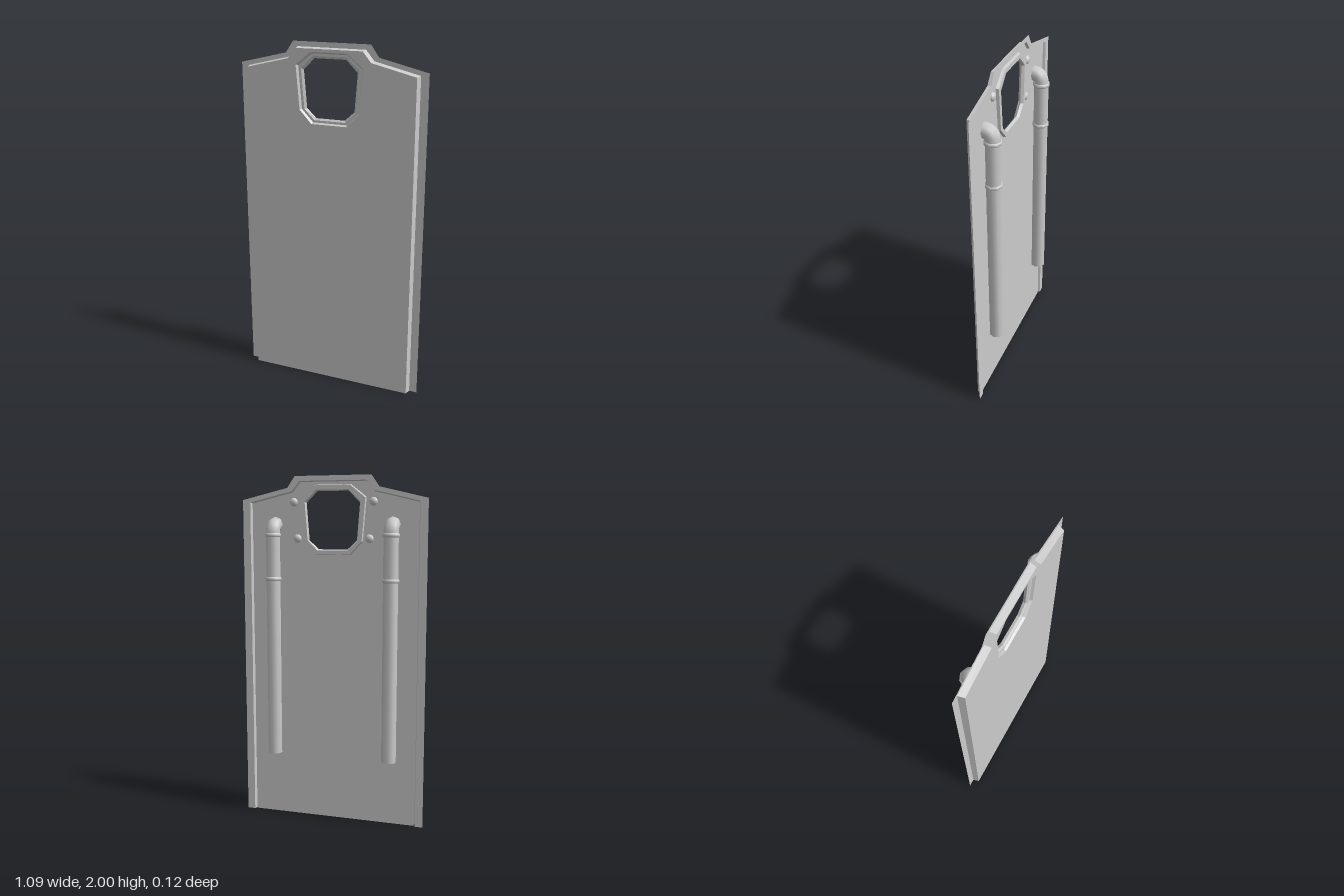
import * as THREE from 'three';

const material = new THREE.MeshStandardMaterial({ color: 0xcccccc, side: THREE.DoubleSide });

// Half outlines on the +x side, listed from bottom to top
const FLANGE = [[0.545, 0], [0.545, 1.87], [0.27, 1.935], [0.225, 2]];
const WALL_BACK = [[0.5, 0], [0.5, 1.855], [0.245, 1.915], [0.197, 1.972]];
const WALL_FRONT = [[0.49, 0], [0.49, 1.85], [0.24, 1.91], [0.192, 1.967]];
const WINDOW = [[0.105, 1.56], [0.175, 1.635], [0.195, 1.88], [0.105, 1.95]];
const OPENING = [[0.085, 1.59], [0.14, 1.64], [0.157, 1.85], [0.092, 1.915]];

// Full counter-clockwise outline from a half one
const mirror = (half) => [...half, ...half.map(([x, y]) => [-x, y]).reverse()];

// Outline part of the way from a to b
const blend = (a, b, t) => a.map(([x, y], i) => [x + (b[i][0] - x) * t, y + (b[i][1] - y) * t]);

function addMesh(parent, name, geometry) {
  const mesh = new THREE.Mesh(geometry, material);
  mesh.name = name;
  parent.add(mesh);
  return mesh;
}

// Flat-faced skin through [half outline, z] sections
function loft(sections, closed) {
  const rings = sections.map(([half, z]) => mirror(half).map(([x, y]) => [x, y, z]));
  const n = rings[0].length;
  const positions = [];
  for (let i = 0; i < rings.length - 1; i++) {
    for (let j = 0; j < (closed ? n : n - 1); j++) {
      const k = (j + 1) % n;
      const [a, b, c, d] = [rings[i][j], rings[i][k], rings[i + 1][k], rings[i + 1][j]];
      positions.push(...a, ...b, ...c, ...a, ...c, ...d);
    }
  }
  const geometry = new THREE.BufferGeometry();
  geometry.setAttribute('position', new THREE.Float32BufferAttribute(positions, 3));
  geometry.computeVertexNormals();
  return geometry;
}

// Flat sheet with the window cut out
function sheet(half, z) {
  const points = (h) => mirror(h).map(([x, y]) => new THREE.Vector2(x, y));
  const shape = new THREE.Shape(points(half));
  shape.holes.push(new THREE.Path(points(WINDOW)));
  return new THREE.ShapeGeometry(shape).translate(0, 0, z);
}

// Upright pipe with two collars and an elbow turning into the panel
function createPipe(name, x) {
  const pipe = new THREE.Group();
  pipe.name = name;
  const z = -0.01, bottom = 0.385, bendY = 1.68, bend = 0.05, radius = 0.043;

  const shaft = addMesh(pipe, 'pipeShaft', new THREE.CylinderGeometry(radius, radius, bendY - bottom, 8));
  shaft.position.set(0, (bendY + bottom) / 2, z);

  const path = new THREE.CurvePath();
  path.add(new THREE.QuadraticBezierCurve3(
    new THREE.Vector3(0, bendY, z),
    new THREE.Vector3(0, bendY + bend, z),
    new THREE.Vector3(0, bendY + bend, z + bend)));
  path.add(new THREE.LineCurve3(
    new THREE.Vector3(0, bendY + bend, z + bend),
    new THREE.Vector3(0, bendY + bend, 0.059)));
  addMesh(pipe, 'pipeElbow', new THREE.TubeGeometry(path, 10, radius, 8));

  for (const y of [1.42, 1.67]) {
    const profile = [[0.042, -0.012], [0.049, -0.006], [0.049, 0.006], [0.042, 0.012]];
    const collar = addMesh(pipe, 'pipeCollar',
      new THREE.LatheGeometry(profile.map(([r, h]) => new THREE.Vector2(r, h)), 8));
    collar.position.set(0, y, z);
  }
  pipe.position.x = x;
  return pipe;
}

export function createModel() {
  const model = new THREE.Group();
  model.name = 'panel';

  // Pressed door skin: thin flange, sloped wall, raised front and backing sheet
  addMesh(model, 'flange', loft([[FLANGE, 0.024], [WALL_BACK, 0.024]], false));
  addMesh(model, 'raisedWall', loft([[WALL_BACK, 0.024], [WALL_FRONT, 0.06]], false));
  addMesh(model, 'frontSheet', sheet(WALL_FRONT, 0.06));
  addMesh(model, 'backSheet', sheet(WALL_FRONT, 0.036));

  // Stepped window frame
  addMesh(model, 'windowFrame', loft([
    [WINDOW, 0.06],
    [blend(WINDOW, OPENING, 0.25), 0.046],
    [blend(WINDOW, OPENING, 0.65), 0.046],
    [OPENING, 0.036],
    [blend(WINDOW, OPENING, 0.8), 0.02],
    [blend(WINDOW, OPENING, 0.1), 0.02],
    [WINDOW, 0.036],
  ], true));

  // Pipes and dome bolts on the back
  for (const side of [-1, 1]) {
    model.add(createPipe(side > 0 ? 'leftPipe' : 'rightPipe', side * 0.347));
    for (const [x, y] of [[0.235, 1.855], [0.213, 1.65]]) {
      const bolt = addMesh(model, 'bolt', new THREE.SphereGeometry(0.024, 10, 8));
      bolt.scale.z = 0.7;
      bolt.position.set(side * x, y, 0.036);
    }
  }
  return model;
}
